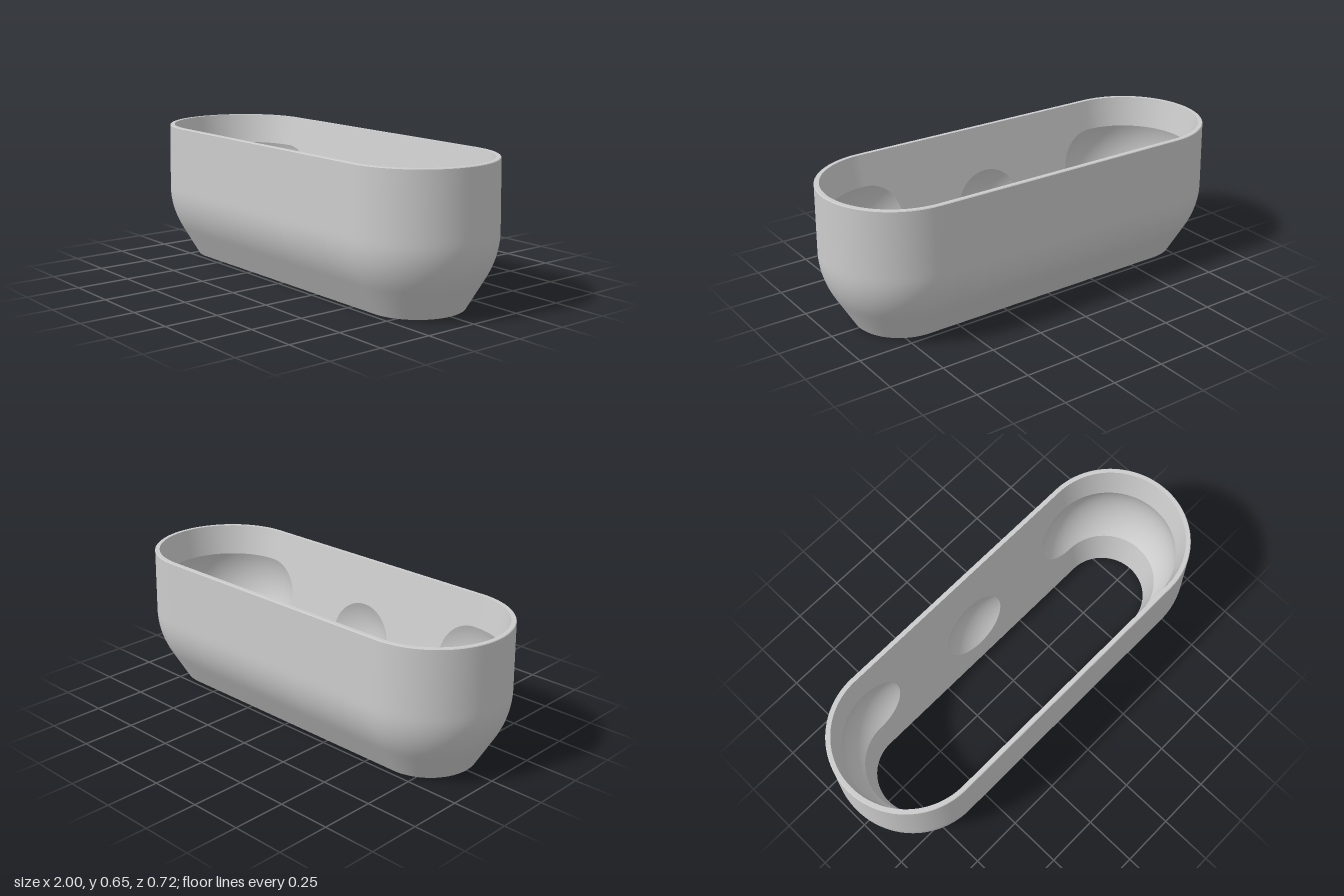
import * as THREE from 'three';

const H = 0.652;        // height
const L = 0.642;        // half length of the straight walls
const W0 = 0.2;         // inner half width at the bottom
const K = 0.201;        // taper of the inner wall
const wall = (y) => W0 + K * y;

// Ball-shaped hollows cut into the inner wall: one in the middle, one at each end
const MID = { c: 0, y: 0.33, R: 0.311 };
const END = { c: L, y: 0.4, R: 0.322 };

// Half width of the hollow where it meets the flat wall
function reach(ball) {
  const d = wall(ball.y) / Math.hypot(1, K);
  return Math.sqrt(ball.R ** 2 - d ** 2);
}

// Heights at which the wall enters and leaves a hollow
function cut(ball, q) {
  const a = 1 + K * K;
  const b = 2 * (W0 * K - ball.y);
  const c = W0 * W0 + ball.y ** 2 - ball.R ** 2 + q;
  const s = Math.sqrt(Math.max(0, b * b - 4 * a * c));
  return [(-b - s) / (2 * a), (-b + s) / (2 * a)];
}

// Columns round the stadium outline: base point on the long axis plus outward direction
function makeColumns() {
  const n = 20, arc = 64;
  const aEnd = reach(END), aMid = reach(MID);
  const half = [];
  for (let i = 0; i <= n; i++) half.push(L - aEnd * Math.sin((Math.PI / 2) * i / n));
  for (let i = 1; i < 5; i++) half.push(THREE.MathUtils.lerp(L - aEnd, aMid, i / 5));
  for (let i = 0; i < n; i++) half.push(aMid * Math.cos((Math.PI / 2) * i / n));
  const xs = [...half, 0, ...half.map((x) => -x).reverse()];

  const cols = [];
  const add = (x, nx, nz, ball, q) => {
    const [lo, hi] = cut(ball, q);
    cols.push({ x, nx, nz, ball, q, lo, hi });
  };
  for (const s of [1, -1]) {
    for (let i = 0; i < arc; i++) {
      const t = Math.PI * (i / arc - 0.5);
      add(s * L, s * Math.cos(t), s * Math.sin(t), END, 0);
    }
    for (const x of xs.slice(0, -1)) {
      const ball = Math.abs(x) > L / 2 ? END : MID;
      add(s * x, 0, s, ball, (Math.abs(x) - ball.c) ** 2);
    }
  }
  return cols;
}

// Closed band round the outline; at(column, t) gives [distance outward, height]
function band(name, cols, rows, at, keep = () => true) {
  const pos = [], index = [], w = rows + 1;
  for (const c of cols) {
    for (let j = 0; j <= rows; j++) {
      const [r, y] = at(c, j / rows);
      pos.push(c.x + c.nx * r, y, c.nz * r);
    }
  }
  cols.forEach((c, i) => {
    const k = (i + 1) % cols.length;
    if (!keep(c) && !keep(cols[k])) return;
    for (let j = 0; j < rows; j++) {
      const a = i * w + j, b = k * w + j;
      index.push(a, a + 1, b, b, a + 1, b + 1);
    }
  });
  const geo = new THREE.BufferGeometry();
  geo.setAttribute('position', new THREE.Float32BufferAttribute(pos, 3));
  geo.setIndex(index);
  geo.computeVertexNormals();
  const mesh = new THREE.Mesh(geo, new THREE.MeshStandardMaterial({ color: 0xcccccc }));
  mesh.name = name;
  return mesh;
}

export function createModel() {
  const group = new THREE.Group();
  group.name = 'openHousing';
  const cols = makeColumns();
  const { lerp } = THREE.MathUtils;

  // Outer profile: sloped foot, rounded shoulder, almost upright wall
  const profile = new THREE.CurvePath();
  const P = (r, y) => new THREE.Vector2(r, y);
  profile.add(new THREE.LineCurve(P(0.223, 0), P(0.304, 0.14)));
  profile.add(new THREE.QuadraticBezierCurve(P(0.304, 0.14), P(0.358, 0.234), P(0.358, 0.335)));
  profile.add(new THREE.LineCurve(P(0.358, 0.335), P(0.353, H - 0.003)));
  const outer = Array.from({ length: 33 }, (_, i) => profile.getPoint(i / 32));

  group.add(
    band('bottomRim', cols, 1, (c, t) => [lerp(W0, 0.223, t), 0]),
    band('outerWall', cols, 32, (c, t) => outer[Math.round(t * 32)].toArray()),
    band('rimBevel', cols, 1, (c, t) => [lerp(0.353, 0.35, t), lerp(H - 0.003, H, t)]),
    band('topRim', cols, 1, (c, t) => [lerp(0.35, wall(H), t), H]),
  );

  // Tapered inner wall above and below the hollows
  const inner = (from, to) => (c, t) => {
    const y = lerp(from(c), to(c), t);
    return [wall(y), y];
  };
  group.add(
    band('upperInnerWall', cols, 6, inner(() => H, (c) => c.hi)),
    band('lowerInnerWall', cols, 6, inner((c) => c.lo, () => 0)),
  );

  // Rounded hollows
  group.add(band('hollows', cols, 28, (c, t) => {
    const y = lerp(c.hi, c.lo, t);
    const r = Math.sqrt(Math.max(0, c.ball.R ** 2 - c.q - (y - c.ball.y) ** 2));
    return [Math.max(wall(y), r), y];
  }, (c) => c.hi - c.lo > 1e-5));

  return group;
}
